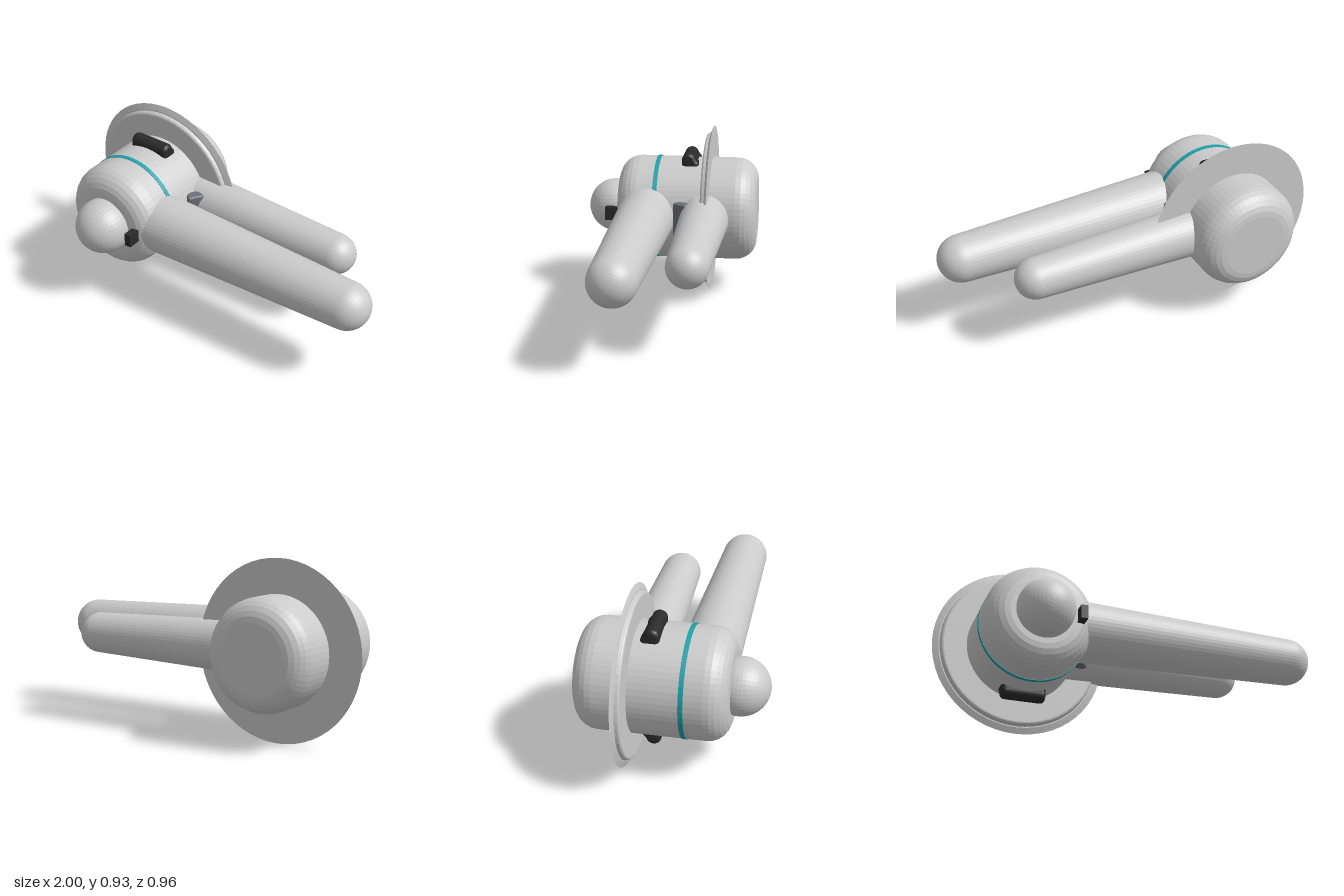
import * as THREE from 'three';
import { RoundedBoxGeometry } from 'three/addons/geometries/RoundedBoxGeometry.js';

function makeMaterial(name, color) {
  const m = new THREE.MeshStandardMaterial({ color, flatShading: true });
  m.name = name;
  return m;
}

// Points of a rounded corner about (cx, cy), from angle a0 to a1
function arc(cx, cy, r, a0, a1, n) {
  return Array.from({ length: n + 1 }, (_, i) => {
    const a = a0 + ((a1 - a0) * i) / n;
    return new THREE.Vector2(Math.max(0, cx + r * Math.cos(a)), cy + r * Math.sin(a));
  });
}

export function createModel() {
  const shell = makeMaterial('light grey shell', 0xcbcbcb);
  const teal = makeMaterial('teal band', 0x1fa3ab);
  const black = makeMaterial('black rubber', 0x2b2b2b);
  const slate = makeMaterial('slate grey', 0x6c7078);

  const model = new THREE.Group();
  const CX = -0.535, CY = 0.468, R = 0.288, Q = Math.PI / 2;
  const v = (x, y) => new THREE.Vector2(x, y);

  function add(name, geometry, material, x = CX, y = CY, z = 0) {
    const mesh = new THREE.Mesh(geometry, material);
    mesh.name = name;
    mesh.position.set(x, y, z);
    model.add(mesh);
    return mesh;
  }

  // Turned parts whose axis runs along z
  const turnZ = (points) => new THREE.LatheGeometry(points, 56).rotateX(Q);

  // Barrel with rounded shoulders
  const c = 0.113, back = -0.48, front = 0.297;
  add('body', turnZ([
    v(0, back),
    ...arc(R - c, back + c, c, -Q, 0, 6),
    ...arc(R - c, front - c, c, 0, Q, 6),
    v(0, front),
  ]), shell);

  // Painted ring round the barrel
  const band = R + 0.0025;
  add('band', turnZ([v(R - 0.004, 0.066), v(band, 0.066), v(band, 0.09), v(R - 0.004, 0.09)]), teal);

  // Wide plate with a flared rim, flat at the back
  add('flange', turnZ([
    v(0, -0.225), v(0.466, -0.225), v(0.434, -0.212), v(0.428, -0.212),
    ...arc(0.41, -0.204, 0.016, 0, Q, 4),
    v(0, -0.188),
  ]), shell);

  // Ball on the front
  add('frontBall', new THREE.SphereGeometry(0.15, 40, 24).rotateX(Q), shell, CX, CY, 0.329);

  // Tapered arms with round tips
  function arm(name, z, r0, r1, tip) {
    const points = [v(0, -0.4), v(r0, -0.4), ...arc(0, tip - r1, r1, 0, Q, 12)];
    add(name, new THREE.LatheGeometry(points, 48).rotateZ(-Q), shell, 0, CY, z);
  }
  arm('frontArm', 0.124, 0.163, 0.126, 0.995);
  arm('backArm', -0.202, 0.139, 0.109, 0.706);

  // Hooked grips above and below the barrel, in a (z, y) section run along x
  const section = new THREE.Shape();
  section.moveTo(0.058, 0.21);
  section.lineTo(0.058, 0.292);
  section.absarc(0.097, 0.292, 0.039, Math.PI, Math.PI * 0.2, true);
  section.quadraticCurveTo(0.138, 0.292, 0.148, 0.284);
  section.quadraticCurveTo(0.156, 0.276, 0.155, 0.262);
  section.lineTo(0.155, 0.21);
  section.closePath();
  const bevel = 0.022, width = 0.236;
  const grip = new THREE.ExtrudeGeometry(section, {
    depth: width - 2 * bevel, curveSegments: 10, bevelEnabled: true,
    bevelThickness: bevel, bevelSize: bevel, bevelOffset: -bevel, bevelSegments: 4,
  });
  grip.translate(0, 0, -width / 2 + bevel).rotateY(Q);
  add('topGrip', grip, black);
  add('bottomGrip', grip, black).rotation.z = Math.PI;

  // Small block beside the ball
  add('frontBlock', new THREE.BoxGeometry(0.037, 0.073, 0.09), black, -0.343, CY, 0.315);

  // Slanted pad between the arms
  add('sidePad', new RoundedBoxGeometry(0.06, 0.195, 0.09, 3, 0.012), slate,
    -0.236, CY, -0.083).rotation.y = -0.6;

  return model;
}
